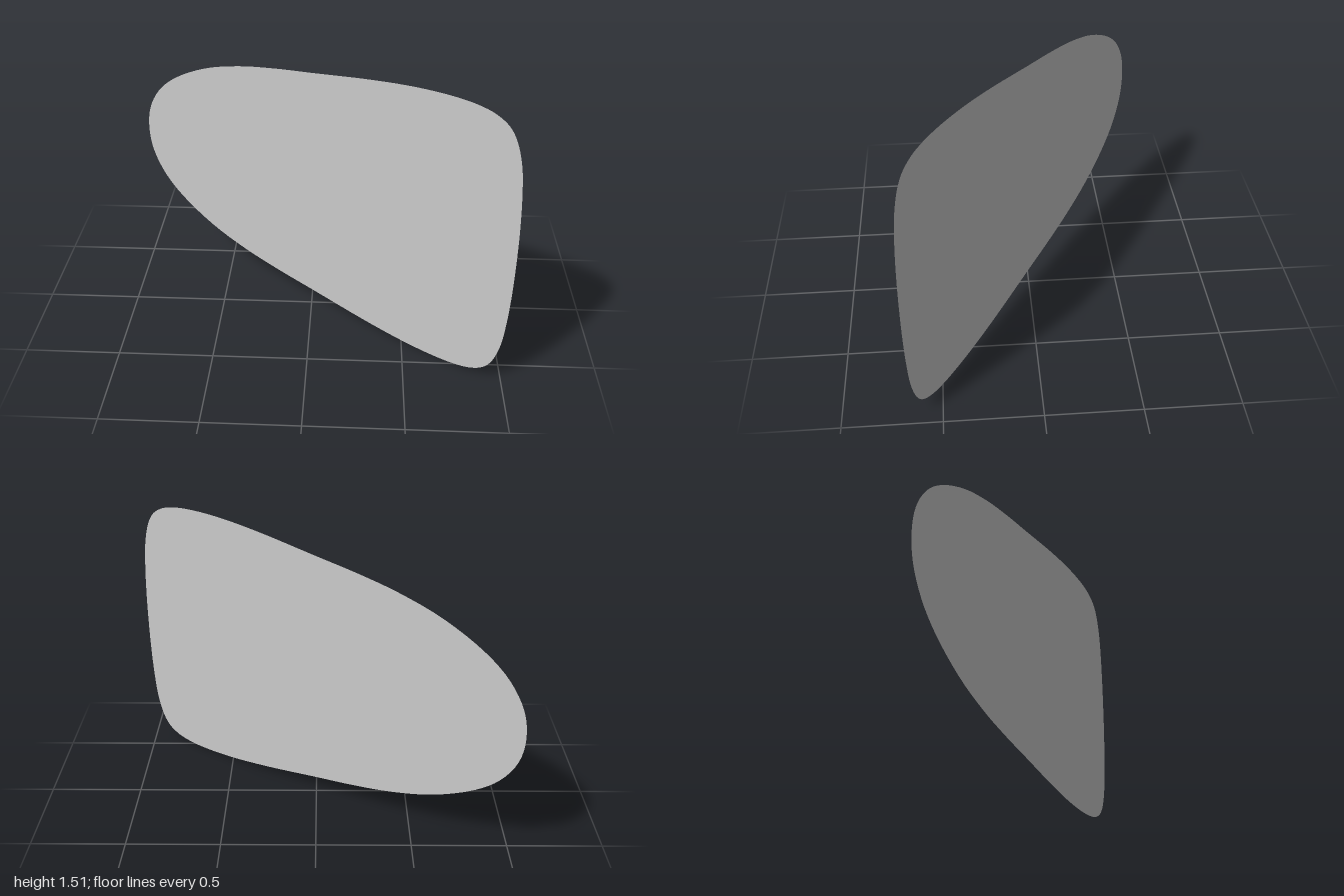
import * as THREE from 'three';

// Upper half of the outline: x position and half-height above the centre line
const CENTRE_Y = 0.755;
const PROFILE = [
  [-1, 0], [-0.98, 0.14], [-0.91, 0.275], [-0.8, 0.385], [-0.606, 0.503], [-0.4, 0.579],
  [-0.2, 0.627], [0, 0.664], [0.3, 0.72], [0.5, 0.747], [0.66, 0.755], [0.77, 0.748],
  [0.85, 0.727], [0.91, 0.685], [0.945, 0.625], [0.975, 0.51], [0.99, 0.36], [0.998, 0.18],
];
const SLOPE = 0.66; // z gained per unit of x

export function createModel() {
  const group = new THREE.Group();
  group.name = 'panelGroup';

  // Mirror the half outline about the centre line into a closed smooth curve
  const stretch = Math.hypot(1, SLOPE);
  const upper = PROFILE.map(([x, h]) => new THREE.Vector3(x * stretch, h, 0));
  const lower = upper.slice(1).reverse().map((p) => new THREE.Vector3(p.x, -p.y, 0));
  const tip = new THREE.Vector3(stretch, 0, 0);
  const curve = new THREE.CatmullRomCurve3([...upper, tip, ...lower], true, 'centripetal');
  const outline = curve.getPoints(144).slice(0, -1).map((p) => new THREE.Vector2(p.x, p.y));

  // Thin flat panel, upright and turned about the vertical axis
  const geometry = new THREE.ShapeGeometry(new THREE.Shape(outline));
  geometry.rotateY(-Math.atan(SLOPE));
  geometry.translate(0, CENTRE_Y, 0);

  const material = new THREE.MeshStandardMaterial({ color: 0xcccccc, side: THREE.DoubleSide });
  const panel = new THREE.Mesh(geometry, material);
  panel.name = 'roundedPanel';
  group.add(panel);
  return group;
}
